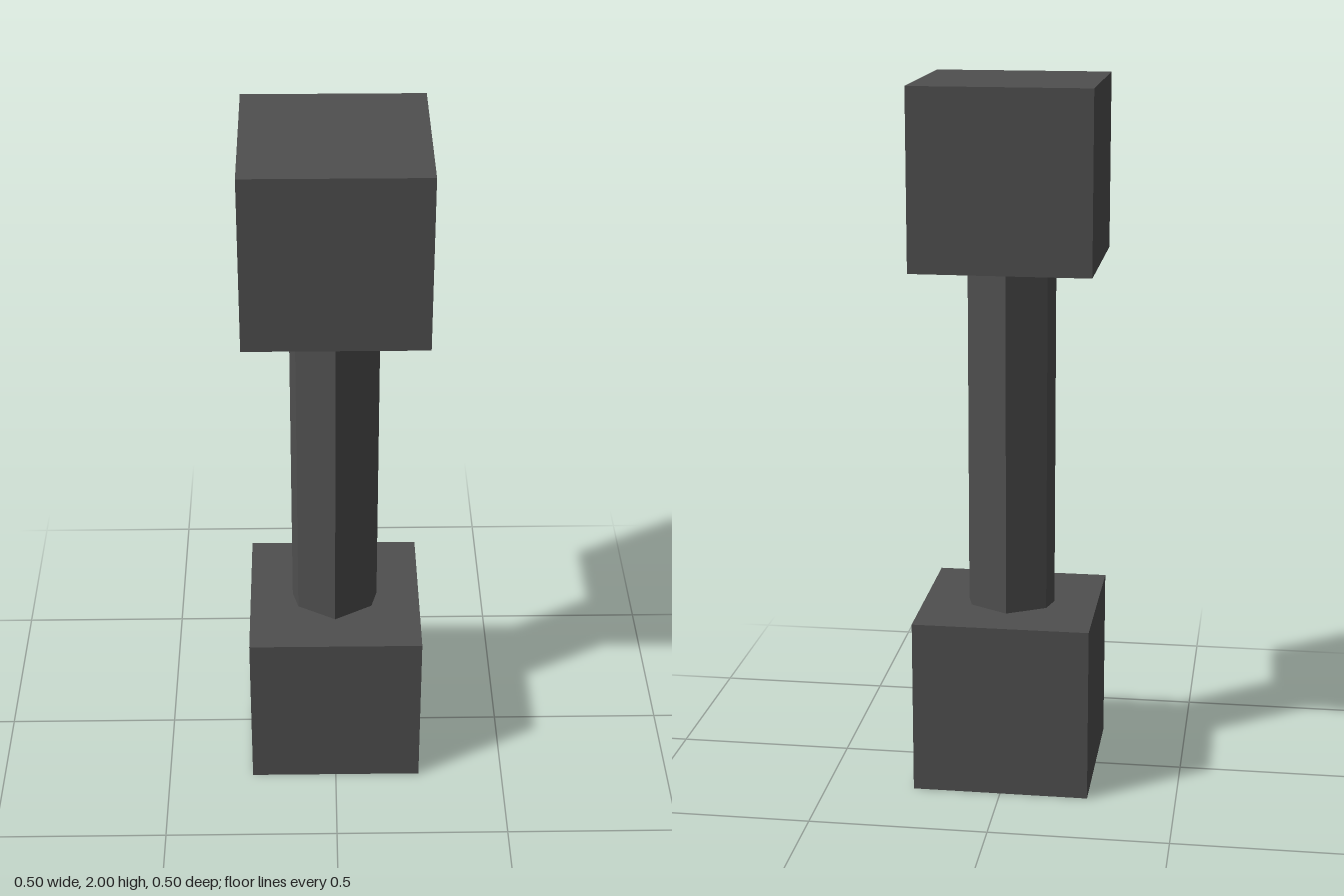
import * as THREE from 'three';

export function createModel() {
  const model = new THREE.Group();
  const charcoal = new THREE.MeshStandardMaterial({ color: 0x4f4f4f, flatShading: true });
  charcoal.name = 'charcoal';

  const add = (name, geometry, y) => {
    const mesh = new THREE.Mesh(geometry, charcoal);
    mesh.name = name;
    mesh.position.y = y;
    model.add(mesh);
  };

  // Cube weights at both ends
  const cube = new THREE.BoxGeometry(0.5, 0.5, 0.5);
  add('lowerWeight', cube, 0.25);
  add('upperWeight', cube, 1.75);

  // Faceted grip: corners on a circle, with broad facets at front and back
  const corners = [0, 30, 90, 150, 180, 210, 270, 330].map((degrees) => {
    const a = THREE.MathUtils.degToRad(degrees);
    return new THREE.Vector2(0.125 * Math.cos(a), 0.125 * Math.sin(a));
  });
  const grip = new THREE.ExtrudeGeometry(new THREE.Shape(corners), { depth: 1, bevelEnabled: false });
  grip.rotateX(-Math.PI / 2);
  add('grip', grip, 0.5);

  return model;
}
